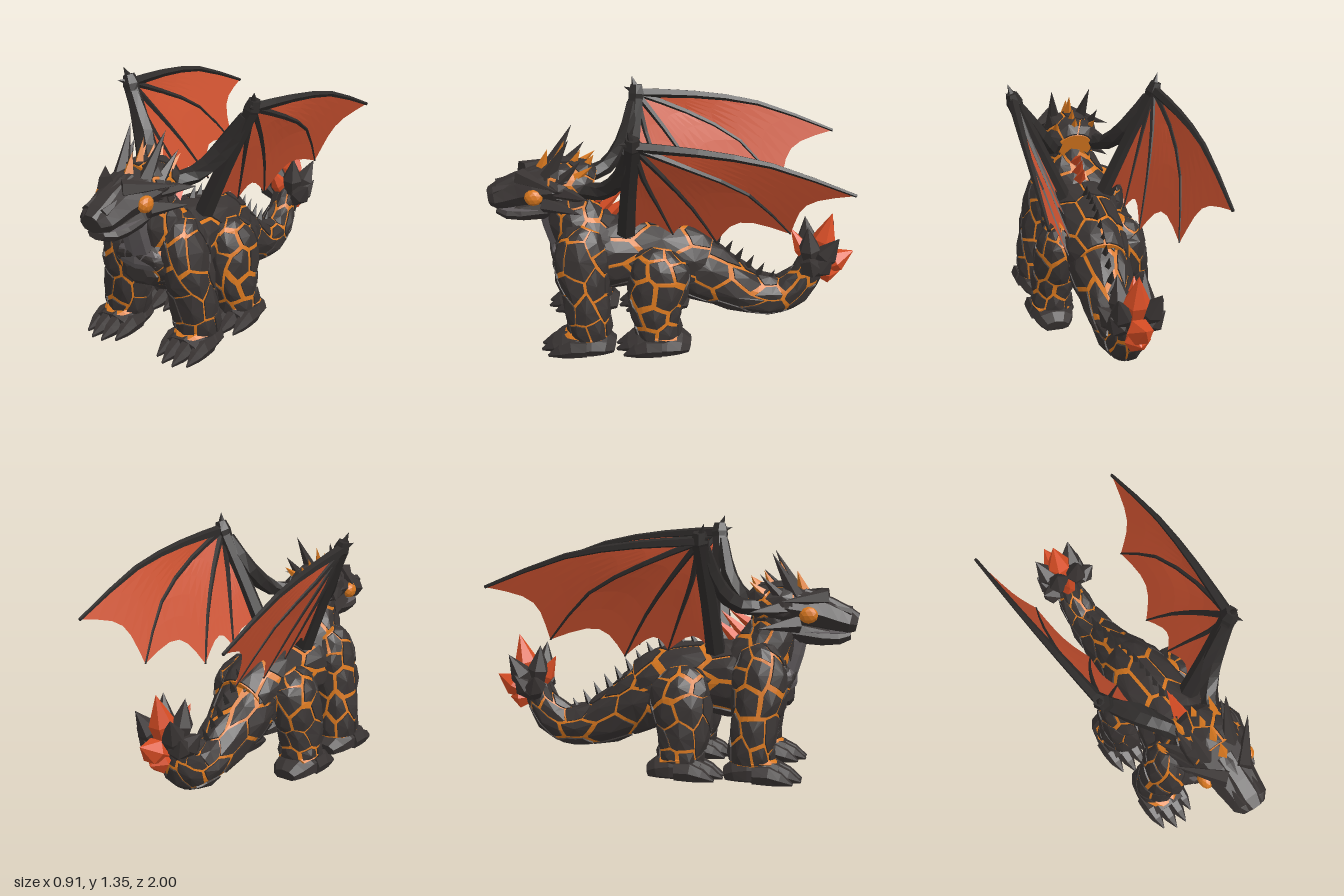
import * as THREE from 'three';

const mat = (name, color, side = THREE.FrontSide) => {
  const m = new THREE.MeshStandardMaterial({ color, flatShading: true, side });
  m.name = name;
  return m;
};
const rock = mat('dark rock', 0x393433);
const bone = mat('wing bone', 0x2e2b2a);
const lava = mat('lava orange', 0xd9781f);
const ember = mat('ember crystal', 0xd84d24);
const skin = mat('wing membrane', 0xcd5230, THREE.DoubleSide);
const ash = mat('ash grey', 0x5d585a);

const V = (x, y, z) => new THREE.Vector3(x, y, z);
const hash = (a, b, s) => {
  const v = Math.sin(a * 127.1 + b * 311.7 + s * 74.7) * 43758.5453;
  return v - Math.floor(v);
};

// Surface through elliptical sections [x, y, z, halfWidth, halfHeight]; h raises it
function loft(st) {
  const path = new THREE.CatmullRomCurve3(st.map(s => V(s[0], s[1], s[2])));
  const size = new THREE.CatmullRomCurve3(st.map(s => V(s[3], s[4], 0)));
  return (turn, u, h = 0) => {
    u = Math.min(1, Math.max(0, u));
    const c = path.getPoint(u), t = path.getTangent(u), r = size.getPoint(u);
    const X = V(1, 0, 0).addScaledVector(t, -t.x).normalize();
    const N = t.clone().cross(X), a = turn * Math.PI * 2;
    c.addScaledVector(X, (Math.max(r.x, 0) + h) * Math.cos(a));
    c.addScaledVector(N, (Math.max(r.y, 0) + h) * Math.sin(a));
    c.y = Math.max(c.y, 0.004);
    return c;
  };
}

function fromTris(pts) {
  const g = new THREE.BufferGeometry().setFromPoints(pts);
  g.computeVertexNormals();
  return g;
}

// Closed faceted skin over a loft
function solidGeo(P, sides, rows, h = 0) {
  const out = [];
  for (let j = 0; j < rows; j++) for (let i = 0; i < sides; i++) {
    const a = P(i / sides, j / rows, h), b = P((i + 1) / sides, j / rows, h);
    const c = P((i + 1) / sides, (j + 1) / rows, h), d = P(i / sides, (j + 1) / rows, h);
    out.push(a, b, c, a, c, d);
  }
  for (const u of [0, 1]) {
    const mid = P(0, u, h).add(P(0.5, u, h)).multiplyScalar(0.5);
    for (let i = 0; i < sides; i++) {
      const a = P(i / sides, u, h), b = P((i + 1) / sides, u, h);
      if (u) out.push(mid, a, b); else out.push(mid, b, a);
    }
  }
  return fromTris(out);
}

// Raised irregular hexagonal rock plates, leaving gaps between them
function platesGeo(P, n, rows, seed) {
  const out = [];
  const corner = (k, j) => {
    const w = ((k % (2 * n)) + 2 * n) % (2 * n);
    const end = j === 0 || j === rows;
    const zig = end ? 0 : ((k + j) % 2 ? -0.17 : 0.17) + (hash(w, j, seed) - 0.5) * 0.4;
    return [k / 2 + (hash(w, j, seed + 5) - 0.5) * 0.4, j + zig];
  };
  for (let j = 0; j < rows; j++) for (let i = 0; i < n; i++) {
    const k = 2 * i + (j % 2);
    const cs = [corner(k, j), corner(k + 1, j), corner(k + 2, j),
      corner(k + 2, j + 1), corner(k + 1, j + 1), corner(k, j + 1)];
    const cx = cs.reduce((s, c) => s + c[0], 0) / 6, cy = cs.reduce((s, c) => s + c[1], 0) / 6;
    const f = 0.76 + 0.18 * hash(i, j, seed + 9);
    const at = (c, s, h) => P((cx + (c[0] - cx) * s) / n, (cy + (c[1] - cy) * s) / rows, h);
    const rim = [];
    cs.forEach((c, q) => {
      const d = cs[(q + 1) % 6];
      rim.push(c, [(c[0] + d[0]) / 2, (c[1] + d[1]) / 2]);
    });
    const mid = at([cx, cy], 0, 0.024);
    rim.forEach((c, q) => {
      const d = rim[(q + 1) % rim.length];
      const a = at(c, f, 0.013), b = at(d, f, 0.013);
      const a0 = at(c, f, -0.006), b0 = at(d, f, -0.006);
      out.push(mid, a, b, a0, b0, b, a0, b, a);
    });
  }
  return fromTris(out);
}

export function createModel() {
  const root = new THREE.Group();
  root.name = 'rockDragon';
  const add = (name, geo, m) => {
    const mesh = new THREE.Mesh(geo, m);
    mesh.name = name;
    root.add(mesh);
    return mesh;
  };
  const solid = (name, m, st, sides, rows) => add(name, solidGeo(loft(st), sides, rows), m);
  const plated = (name, st, n, rows, seed) => {
    const P = loft(st);
    add(name + 'Core', solidGeo(P, 24, rows * 4, 0.004), lava);
    add(name + 'Plates', platesGeo(P, n, rows, seed), rock);
  };
  const spike = (name, m, a, b, r, sides = 5) => {
    const A = V(...a), B = V(...b), d = B.clone().sub(A);
    const mesh = add(name, new THREE.ConeGeometry(r, d.length(), sides), m);
    mesh.position.copy(A).add(B).multiplyScalar(0.5);
    mesh.quaternion.setFromUnitVectors(V(0, 1, 0), d.normalize());
  };
  const crystal = (name, m, a, b, r) => {
    const mix = a.map((v, i) => v + (b[i] - v) * 0.55);
    solid(name, m, [[...a, r * 0.45, r * 0.45], [...mix, r, r], [...b, 0, 0]], 6, 2);
  };

  // Trunk, neck and tail
  plated('torso', [[0, .41, -.16, .14, .165], [0, .47, 0, .175, .19], [0, .5, .2, .185, .185],
    [0, .5, .4, .22, .2], [0, .475, .53, .2, .17], [0, .455, .6, .17, .125], [0, .44, .63, .12, .08]], 8, 6, 1);
  solid('sternum', rock, [[0, .435, .6, .13, .08], [0, .435, .64, .115, .07], [0, .435, .66, .07, .045]], 7, 2);
  plated('neck', [[0, .53, .4, .2, .17], [0, .64, .49, .19, .16], [0, .74, .54, .145, .135],
    [0, .83, .555, .115, .115], [0, .9, .57, .1, .09]], 7, 3, 2);
  plated('tail', [[0, .47, -.78, .05, .05], [0, .33, -.74, .065, .075], [0, .215, -.62, .085, .095],
    [0, .215, -.46, .105, .105], [0, .3, -.28, .13, .14], [0, .405, -.1, .155, .17], [0, .46, 0, .14, .17]], 7, 6, 3);

  // Grey throat and breast plate
  solid('throat', ash, [[0, .78, .675, .07, .05], [0, .71, .655, .09, .07],
    [0, .62, .62, .095, .08], [0, .54, .59, .1, .085]], 8, 4);
  solid('breastPlate', ash, [[0, .56, .585, .13, .08], [0, .52, .595, .175, .085], [0, .475, .59, .15, .08]], 8, 3);

  // Head, jaw and crown
  solid('head', rock, [[0, .88, .46, .08, .08], [0, .9, .54, .145, .115], [0, .9, .67, .155, .11],
    [0, .875, .78, .125, .095], [0, .845, .87, .11, .08], [0, .825, .94, .105, .07], [0, .815, .985, .065, .045]], 8, 7);
  solid('nosePlate', rock, [[0, .95, .7, .07, .055], [0, .91, .84, .065, .045], [0, .87, .93, .07, .04],
    [0, .845, .99, .045, .025]], 6, 3);
  solid('jaw', rock, [[0, .78, .54, .1, .07], [0, .755, .74, .1, .06], [0, .74, .87, .095, .048],
    [0, .755, .95, .055, .028]], 8, 4);
  solid('mouthLine', ash, [[0, .775, .7, .09, .02], [0, .77, .85, .095, .015], [0, .775, .95, .055, .012]], 6, 3);
  plated('crown', [[0, .885, .43, .09, .075], [0, .905, .5, .135, .105], [0, .915, .58, .14, .105],
    [0, .92, .66, .13, .095]], 7, 2, 6);
  [[.71, .665, 1.09], [.64, .575, 1.14], [.56, .49, 1.09], [.49, .42, 1.06]].forEach(([z, tz, ty]) =>
    spike('crownFlame', lava, [0, .95, z], [0, ty, tz], .042, 4));
  [[.78, .45, .88, .3], [.73, .4, .87, .26], [.71, .35, .83, .22]].forEach(([y, z, ty, tz]) =>
    spike('neckCrest', ember, [0, y, z], [0, ty, tz], .04, 4));

  // Spines along the back and tail
  for (let i = 0; i < 14; i++) {
    const z = .2 - i * .06;
    const y = z > -.06 ? .655 + z * .16 : .645 + (z + .06) * .78;
    spike('backSpine', bone, [0, y - .03, z], [0, y + .075, z - .05], .03, 4);
  }

  for (const s of [1, -1]) {
    const seed = s > 0 ? 11 : 23;
    const m = p => [p[0] * s, ...p.slice(1)];

    // Face details
    const eye = add('eye', new THREE.IcosahedronGeometry(.05, 1), lava);
    eye.position.set(.132 * s, .87, .735);
    eye.scale.set(.7, .9, 1);
    spike('brow', rock, m([.05, .955, .81]), m([.235, .95, .6]), .048);
    spike('cheekSpike', rock, m([.1, .82, .68]), m([.2, .8, .48]), .05);
    spike('templeSpike', rock, m([.11, .9, .6]), m([.22, .89, .44]), .05);
    spike('horn', rock, m([.075, .96, .66]), m([.11, 1.19, .54]), .045);
    spike('smallHorn', rock, m([.11, .94, .6]), m([.14, 1.08, .48]), .038);
    spike('templeFlame', lava, m([.09, .94, .54]), m([.11, 1.04, .42]), .038, 4);
    spike('nostrilRidge', rock, m([.05, .87, .95]), m([.07, .93, .8]), .03);

    // Legs
    plated('frontLeg', [[.155, .7, .44, .04, .05], [.175, .62, .475, .085, .125], [.195, .48, .49, .1, .135],
      [.21, .34, .475, .11, .115], [.225, .2, .46, .115, .11], [.235, .09, .45, .1, .1]].map(m), 6, 5, seed);
    plated('hindLeg', [[.15, .58, .06, .03, .05], [.17, .52, .07, .085, .13], [.195, .42, .07, .105, .15],
      [.21, .28, .095, .105, .14], [.225, .16, .085, .1, .115], [.23, .08, .07, .1, .105]].map(m), 6, 5, seed + 3);

    // Feet with four blunt toes and claws
    for (const z of [.45, .04]) {
      solid('foot', rock, [[.235, .03, z - .13, .07, .04], [.235, .05, z - .06, .115, .07], [.235, .055, z + .05, .125, .085],
        [.235, .045, z + .15, .115, .065]].map(m), 9, 4);
      for (let i = 0; i < 4; i++) {
        const x = .14 + i * .063, f = i === 0 || i === 3 ? -.04 : 0;
        solid('toe', rock, [[x, .055, z + .06 + f, .038, .05], [x, .055, z + .14 + f, .042, .055],
          [x, .038, z + .2 + f, .034, .04], [x, .012, z + .27 + f, .003, .008]].map(m), 6, 3);
      }
      solid('ankleCrack', lava, [[.235, .1, z - .06, .085, .02], [.235, .115, z + .02, .115, .026],
        [.235, .11, z + .1, .085, .022], [.235, .1, z + .14, .05, .012]].map(m), 8, 4);
    }

    // Wing: arm, fingers and scalloped membrane
    const E = [.39, 1.265, .2], S = [.13, .67, .25];
    solid('wingArm', bone, [[...S, .055, .055], [.25, .95, .23, .045, .048], [...E, .04, .045]].map(m), 6, 4);
    solid('wingBrace', bone, [[.1, .9, .48, .045, .045], [.16, .92, .37, .05, .045], [.25, 1.03, .275, .06, .045],
      [.36, 1.22, .22, .035, .035]].map(m), 6, 6);
    solid('wingKnuckle', bone, [[.36, 1.2, .21, .03, .04], [.385, 1.26, .2, .045, .05], [.4, 1.31, .2, .03, .035]].map(m), 6, 2);
    spike('wingClaw', bone, m([.39, 1.28, .2]), m([.415, 1.355, .225]), .028);
    spike('wingClaw', bone, m([.39, 1.27, .2]), m([.42, 1.29, .27]), .025);
    const ribs = [
      [E, [.42, 1.245, -.12], [.44, 1.185, -.48], [.44, 1.02, -.91]],
      [E, [.4, 1.15, -.08], [.36, .99, -.38], [.285, .73, -.61]],
      [E, [.34, 1.08, .05], [.27, .87, -.1], [.19, .635, -.23]],
      [E, [.32, 1.06, .15], [.25, .88, .08], [.17, .67, .0]],
      [E, [.3, 1.07, .215], [.22, .87, .23], [.13, .66, .24]]];
    ribs.slice(0, 4).forEach((r, i) => solid('wingFinger', bone, r.map((p, q) => {
      const w = (i ? .02 : .03) - q * (i ? .005 : .007);
      return [...m(p), w, w];
    }), 5, 6));
    const curves = ribs.map(r => new THREE.CatmullRomCurve3(r.map(p => V(...m(p)))));
    const tris = [];
    for (let i = 0; i < 4; i++) {
      const pt = (a, b) => {
        const t = b * (1 - (i ? .14 : .09) * Math.sin(Math.PI * a));
        return curves[i].getPoint(t).lerp(curves[i + 1].getPoint(t), a);
      };
      for (let a = 0; a < 6; a++) for (let b = 0; b < 6; b++) {
        const [p, q, r, t] = [pt(a / 6, b / 6), pt((a + 1) / 6, b / 6), pt((a + 1) / 6, (b + 1) / 6), pt(a / 6, (b + 1) / 6)];
        tris.push(p, q, r, p, r, t);
      }
    }
    add('wingMembrane', fromTris(tris), skin);

    // Dark crystals at the tail tip
    [[.17, .5, -.74], [.07, .66, -.73], [.11, .61, -.9], [.14, .5, -.86]].forEach(p =>
      crystal('darkTailCrystal', rock, m([.04, .36, -.77]), m(p), .062));
  }

  // Glowing crystals at the tail tip
  [[0, .71, -.87], [0, .48, -1], [-.04, .6, -.65], [0, .35, -.93]].forEach((p, i) =>
    crystal('glowingTailCrystal', ember, [0, .36, -.79], p, i === 2 ? .048 : .068));

  return root;
}
